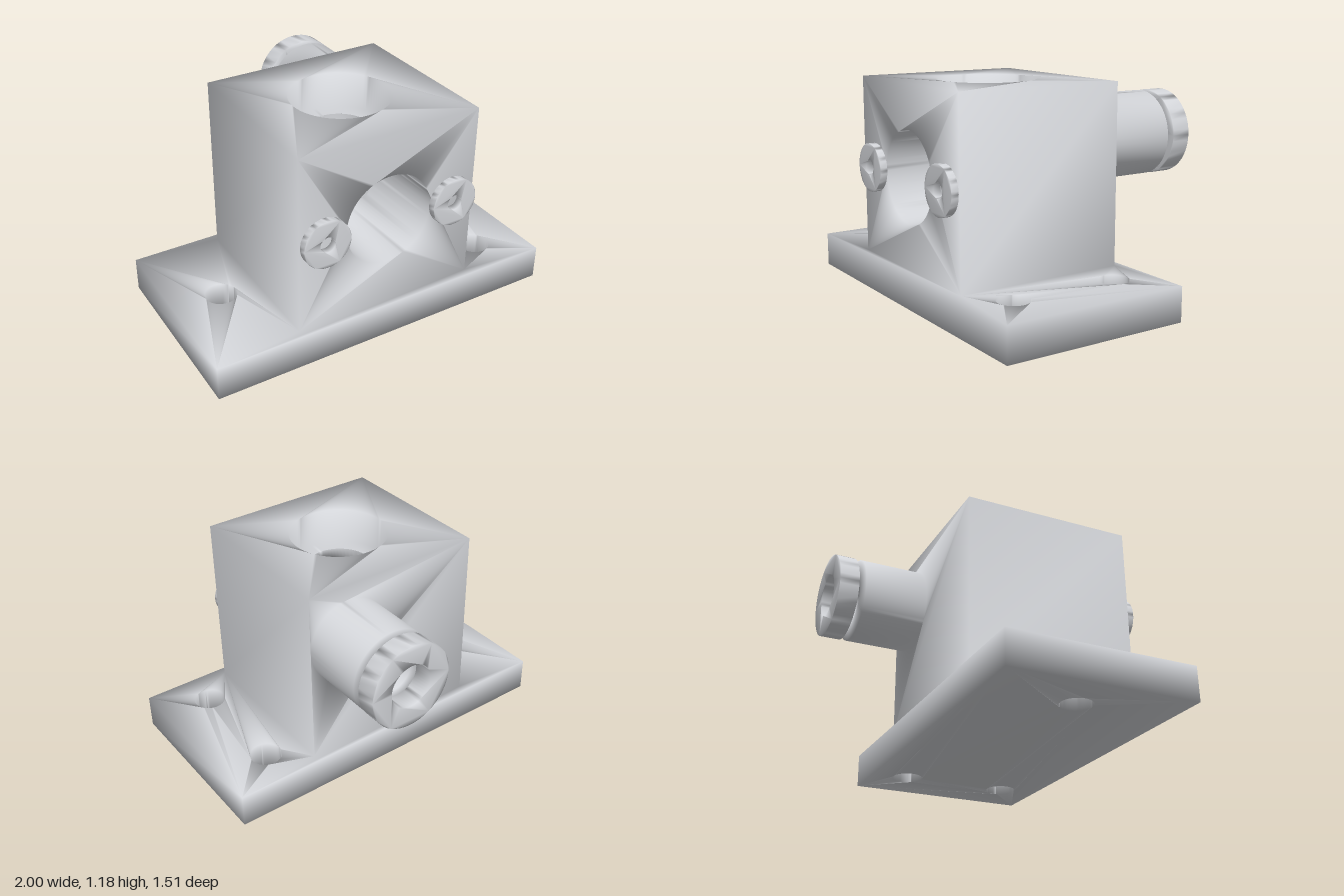
import * as THREE from 'three';
import { mergeGeometries, mergeVertices } from 'three/addons/utils/BufferGeometryUtils.js';
import { ParametricGeometry } from 'three/addons/geometries/ParametricGeometry.js';

// Main dimensions
const W = 0.52, Y0 = 0.19, Y1 = 1.18, ZB = -0.245, ZF = 0.71; // block
const BASE_ZB = -0.29, BASE_ZF = 0.755;
const BORE_Y = 0.69, BORE_R = 0.25;                            // front bore
const WELL_Z = 0.23, WELL_R = 0.18, RIM_R = 0.27, LEDGE_Y = 0.98; // vertical well
const PIPE_X = 0.285, PIPE_Y = 0.86, PIPE_R = 0.234, PIPE_HOLE = 0.12, PIPE_Z = -0.605;
const BOLTS = [[-0.725, 0.23], [0.72, -0.075], [0.72, 0.535]], BOLT_R = 0.087;
const SEG = 96, ARC = 24;

const circle = (x, y, r) => new THREE.Path().absarc(x, y, r, 0, Math.PI * 2, true);

function rectPoints(x0, y0, x1, y1) {
  return [[x0, y0], [x1, y0], [x1, y1], [x0, y1]].map(([x, y]) => new THREE.Vector2(x, y));
}

// Flat rectangle with holes
function plate(x0, y0, x1, y1, holes) {
  const s = new THREE.Shape(rectPoints(x0, y0, x1, y1));
  s.holes.push(...holes);
  return new THREE.ShapeGeometry(s, SEG / 2);
}

// Upright tube surface; inside = true makes it face its axis
function tube(r, h, inside) {
  const g = new THREE.CylinderGeometry(r, r, h, SEG, 1, true);
  return inside ? g.scale(-1, 1, 1) : g;
}

// Upright wall facing outwards at a quarter turn
function wall(width, y0, y1, angle, x, z) {
  return new THREE.PlaneGeometry(width, y1 - y0).rotateY(angle).translate(x, (y0 + y1) / 2, z);
}

// Weld shared corners so the shading flows softly across the edges
function soften(geo) {
  geo.deleteAttribute('uv');
  geo.deleteAttribute('normal');
  const g = mergeVertices(geo);
  g.computeVertexNormals();
  return g;
}

// Ring with thickness, running along +z
function washer(outer, inner, depth) {
  const s = new THREE.Shape().absarc(0, 0, outer, 0, Math.PI * 2, false);
  s.holes.push(circle(0, 0, inner));
  return soften(new THREE.ExtrudeGeometry(s, { depth, bevelEnabled: false, curveSegments: ARC }));
}

function basePlate() {
  const bolts = (s) => BOLTS.map(([x, z]) => circle(x, s * z, BOLT_R));
  const footprint = new THREE.Path(rectPoints(-W, -ZF, W, -ZB));
  const depth = BASE_ZF - BASE_ZB, mz = (BASE_ZF + BASE_ZB) / 2, q = Math.PI / 2;
  return [
    plate(-1, -BASE_ZF, 1, -BASE_ZB, [footprint, ...bolts(-1)]).rotateX(-q).translate(0, Y0, 0),
    plate(-1, BASE_ZB, 1, BASE_ZF, bolts(1)).rotateX(q),
    wall(2, 0, Y0, 0, 0, BASE_ZF),
    wall(2, 0, Y0, Math.PI, 0, BASE_ZB),
    wall(depth, 0, Y0, q, 1, mz),
    wall(depth, 0, Y0, -q, -1, mz),
    ...BOLTS.map(([x, z]) => tube(BOLT_R, Y0, true).translate(x, Y0 / 2, z)),
  ];
}

// Front bore in four arcs: right flank, ceiling, left flank, floor.
// Ceiling and floor are trimmed where the well cuts through them.
function frontBore() {
  const al = Math.acos(WELL_R / BORE_R);
  const parts = [], rim = [];
  [[-al, al, 0], [al, Math.PI - al, 1], [Math.PI - al, Math.PI + al, 0], [Math.PI + al, 2 * Math.PI - al, -1]]
    .forEach(([a0, a1, side]) => {
      const edge = (u) => {
        const a = a0 + (a1 - a0) * u, x = BORE_R * Math.cos(a);
        const reach = Math.sqrt(Math.max(0, WELL_R ** 2 - x * x));
        return [x, BORE_Y + BORE_R * Math.sin(a), WELL_Z + side * reach];
      };
      for (let i = 0; i < ARC; i++) rim.push(new THREE.Vector2(...edge(i / ARC).slice(0, 2)));
      parts.push(new ParametricGeometry((u, v, p) => {
        const [x, y, z] = edge(u);
        p.set(x, y, ZF + (z - ZF) * v);
      }, ARC, 1));
      if (side) {
        // half of the well wall, up to the ledge
        parts.push(new ParametricGeometry((u, v, p) => {
          const [x, y, z] = edge(u);
          p.set(x, y + (LEDGE_Y - y) * v, z);
        }, ARC, 1));
      } else {
        // flat shoulder beside the well
        const pts = Array.from({ length: ARC + 1 }, (_, i) => new THREE.Vector2(...edge(i / ARC).slice(0, 2)));
        parts.push(new THREE.ShapeGeometry(new THREE.Shape(pts)).translate(0, 0, WELL_Z));
      }
    });
  return { parts, rim: new THREE.Path(rim) };
}

function block() {
  const bore = frontBore(), q = Math.PI / 2;
  const depth = ZF - ZB, mz = (ZF + ZB) / 2;
  return [
    plate(-W, Y0, W, Y1, [bore.rim]).translate(0, 0, ZF),
    plate(-W, Y0, W, Y1, [circle(-PIPE_X, PIPE_Y, PIPE_R)]).rotateY(Math.PI).translate(0, 0, ZB),
    plate(-W, -ZF, W, -ZB, [circle(0, -WELL_Z, RIM_R)]).rotateX(-q).translate(0, Y1, 0),
    wall(depth, Y0, Y1, q, W, mz),
    wall(depth, Y0, Y1, -q, -W, mz),
    ...bore.parts,
    // counterbore and ledge of the well
    tube(RIM_R, Y1 - LEDGE_Y, true).translate(0, (Y1 + LEDGE_Y) / 2, WELL_Z),
    new THREE.RingGeometry(WELL_R, RIM_R, SEG).rotateX(-q).translate(0, LEDGE_Y, WELL_Z),
  ];
}

function rearPipe() {
  const len = ZB - PIPE_Z, mid = (ZB + PIPE_Z) / 2, q = Math.PI / 2;
  return [
    tube(PIPE_R, len, false).rotateX(q).translate(PIPE_X, PIPE_Y, mid),
    tube(PIPE_HOLE, len, true).rotateX(q).translate(PIPE_X, PIPE_Y, mid),
    new THREE.RingGeometry(PIPE_HOLE, PIPE_R, SEG).rotateY(Math.PI).translate(PIPE_X, PIPE_Y, PIPE_Z),
    new THREE.CircleGeometry(PIPE_HOLE, SEG).rotateY(Math.PI).translate(PIPE_X, PIPE_Y, ZB),
  ];
}

export function createModel() {
  const grey = new THREE.MeshStandardMaterial({ color: 0xd2d4d8, side: THREE.DoubleSide });
  grey.name = 'light grey';
  const model = new THREE.Group();
  model.name = 'valveBlock';

  const add = (name, geo, x, y, z) => {
    const m = new THREE.Mesh(geo, grey);
    m.name = name;
    m.position.set(x, y, z);
    model.add(m);
  };

  // One-piece casting: base plate, block and rear pipe
  const casting = [...basePlate(), ...block(), ...rearPipe()];
  add('housing', soften(mergeGeometries(casting)), 0, 0, 0);

  // Screw bosses on the front
  for (const s of [-1, 1]) add('screwBoss', washer(0.133, 0.043, 0.04), s * 0.38, BORE_Y, ZF);

  // Separate end ring behind the pipe
  add('pipeEndRing', washer(0.235, PIPE_HOLE, 0.11), PIPE_X, PIPE_Y, -0.755);
  return model;
}
